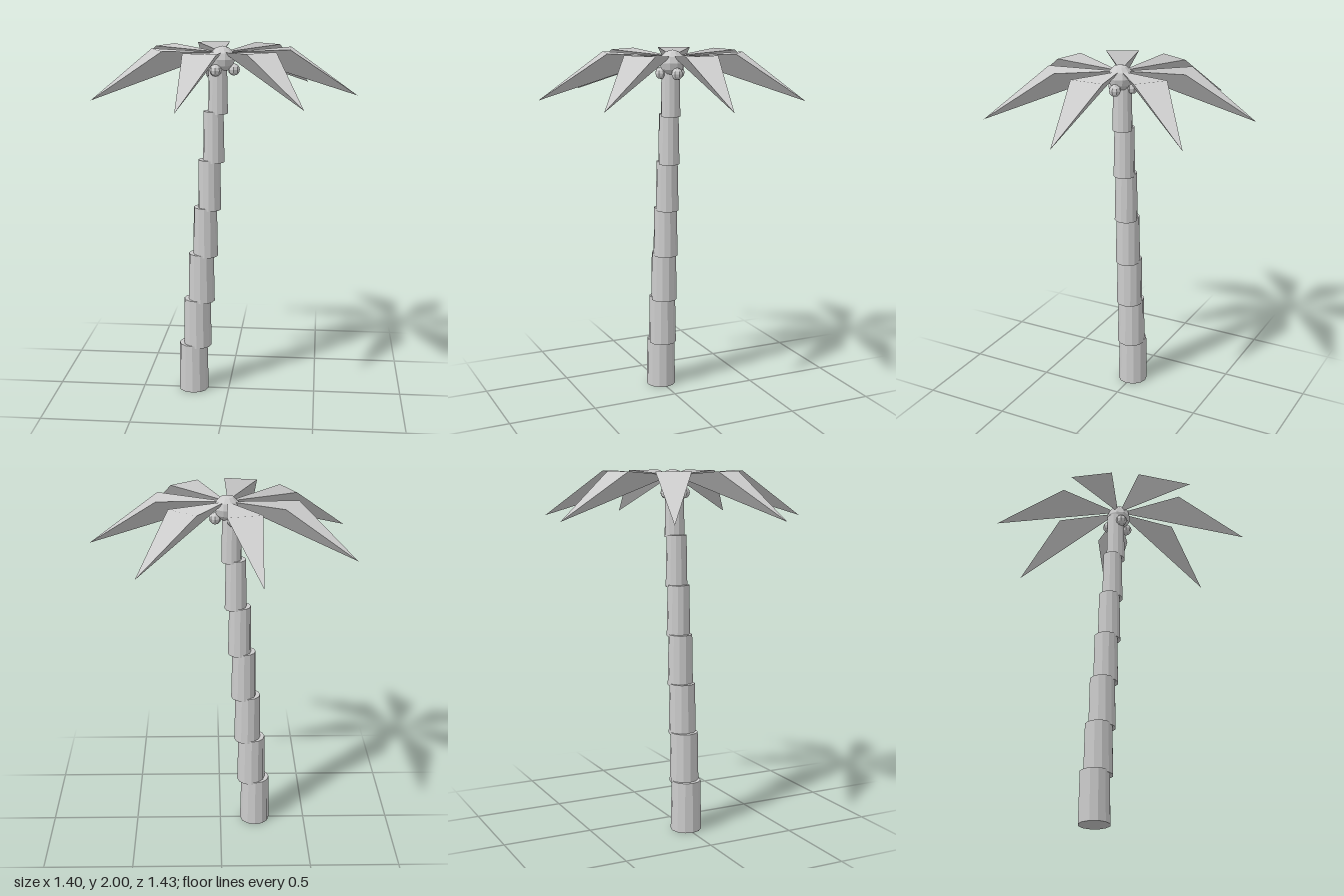
import * as THREE from 'three';

const grey = new THREE.MeshStandardMaterial({ color: 0xcccccc });
grey.name = 'lightGrey';

function add(parent, name, geometry, x = 0, y = 0, z = 0) {
  const mesh = new THREE.Mesh(geometry, grey);
  mesh.name = name;
  mesh.position.set(x, y, z);
  parent.add(mesh);
  return mesh;
}

// split the corners so every face is flat
function faceted(geometry) {
  const flat = geometry.toNonIndexed();
  flat.computeVertexNormals();
  return flat;
}

// folded diamond leaf pointing along +x, with a keel underneath
function frondGeometry() {
  const root = [0.01, -0.03, 0], tip = [0.735, -0.255, 0];
  const left = [0.37, -0.005, -0.093], right = [0.37, -0.005, 0.093];
  const corners = [
    root, right, left, right, tip, left, // upper side
    root, tip, right, root, left, tip,   // keel sides
  ];
  const geometry = new THREE.BufferGeometry();
  geometry.setAttribute('position', new THREE.Float32BufferAttribute(corners.flat(), 3));
  geometry.computeVertexNormals();
  // the upper side is shaded as one face
  const up = new THREE.Vector3(0.225, 0.725, 0).normalize();
  for (let i = 0; i < 6; i++) geometry.attributes.normal.setXYZ(i, up.x, up.y, up.z);
  return geometry;
}

export function createModel() {
  const model = new THREE.Group();
  model.name = 'palmTree';

  // leaning trunk of stepped, tapering segments
  const trunk = new THREE.Group();
  trunk.name = 'trunk';
  model.add(trunk);
  const step = 0.272, height = 0.285;
  for (let i = 0; i < 7; i++) {
    const r = 0.086 - 0.0052 * i;
    const segment = faceted(new THREE.CylinderGeometry(r - 0.005, r, height, 12));
    add(trunk, 'trunkSegment', segment, -0.205 + 0.0243 * i, i * step + height / 2, 0);
  }

  // round crown on the trunk
  const cx = -0.035;
  add(model, 'crown', faceted(new THREE.SphereGeometry(0.07, 10, 6)), cx, 1.93, 0);

  // three coconuts below the crown
  const nut = faceted(new THREE.SphereGeometry(0.033, 8, 6));
  for (let i = 0; i < 3; i++) {
    const a = (i * Math.PI * 2) / 3;
    add(model, 'coconut', nut, cx + 0.063 * Math.cos(a), 1.873, 0.063 * Math.sin(a));
  }

  // seven fronds around the crown
  const leaf = frondGeometry();
  for (let i = 0; i < 7; i++) {
    add(model, 'frond', leaf, cx, 1.995, 0).rotation.y = (i * Math.PI * 2) / 7;
  }
  return model;
}
